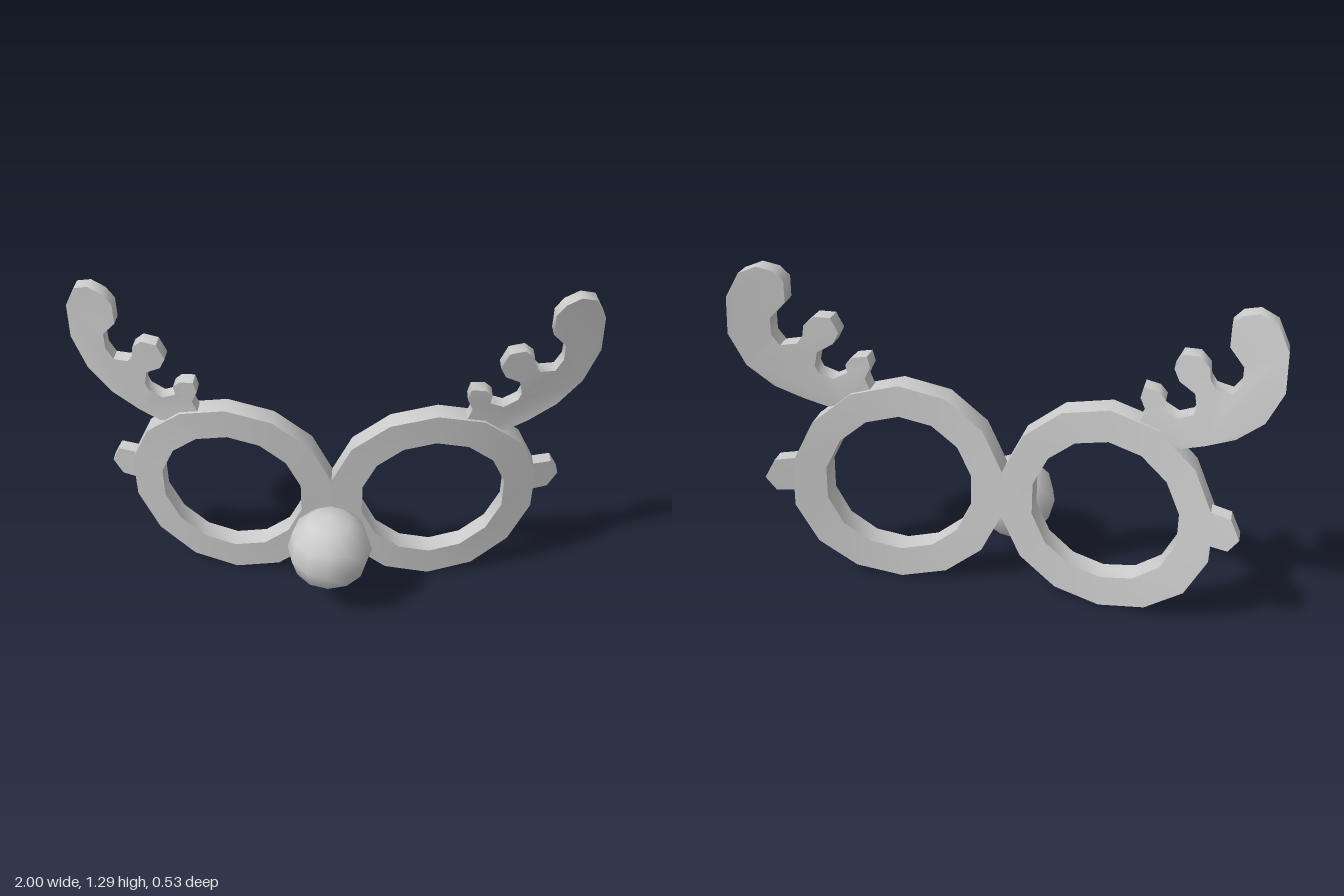
import * as THREE from 'three';
import { toCreasedNormals } from 'three/addons/utils/BufferGeometryUtils.js';

const grey = new THREE.MeshStandardMaterial({ color: 0xcccccc });
grey.name = 'plain grey';

// Antler outline with one large and two small tines
const ANTLER = [
  [0.89, 1.29], [0.95, 1.27], [0.995, 1.185], [1.0, 1.045], [0.947, 0.917], [0.856, 0.826],
  [0.75, 0.768], [0.67, 0.735], [0.6, 0.74], [0.5, 0.78], [0.519, 0.82], [0.53, 0.85],
  [0.508, 0.896], [0.519, 0.939], [0.572, 0.933], [0.6, 0.906], [0.594, 0.872], [0.647, 0.848],
  [0.7, 0.874], [0.711, 0.901], [0.7, 0.955], [0.642, 0.987], [0.62, 1.03], [0.647, 1.088],
  [0.706, 1.094], [0.743, 1.061], [0.749, 1.019], [0.77, 0.992], [0.829, 0.987], [0.856, 1.03],
  [0.856, 1.094], [0.802, 1.152], [0.802, 1.232], [0.834, 1.27],
];

// Hinge stub at the outer edge of the rim
const STUB = [[0.78, 0.527], [0.872, 0.523], [0.909, 0.452], [0.872, 0.393], [0.78, 0.388]];

// Sweeps a flat part back at the sides and leans it forward at the top
function bentMesh(name, geometry) {
  const p = geometry.attributes.position;
  for (let i = 0; i < p.count; i++) {
    const sweep = -0.19 * Math.pow(Math.abs(p.getX(i)), 2.4);
    const lean = 0.082 * (p.getY(i) - 0.83);
    p.setZ(i, p.getZ(i) + sweep + lean);
  }
  const mesh = new THREE.Mesh(toCreasedNormals(geometry, 1.0), grey);
  mesh.name = name;
  return mesh;
}

// Plate cut from an outline, its face set back from the rim's face
function plate(name, outline, setback, depth, side) {
  const shape = new THREE.Shape(outline.map(([x, y]) => new THREE.Vector2(x * side, y)));
  const geometry = new THREE.ExtrudeGeometry(shape, { depth, bevelEnabled: false });
  geometry.translate(0, 0, -setback - depth);
  return bentMesh(name, geometry);
}

// Fourteen-sided ring of rectangular section
function rim(name, side) {
  const inner = 0.289, outer = 0.415, front = 0.003, back = -0.084;
  const section = [[inner, back], [outer, back], [outer, front], [inner, front], [inner, back]];
  const geometry = new THREE.LatheGeometry(section.map(([r, z]) => new THREE.Vector2(r, z)), 14);
  geometry.rotateX(Math.PI / 2);
  geometry.translate(0.403 * side, 0.416, 0);
  return bentMesh(name, geometry);
}

export function createModel() {
  const model = new THREE.Group();
  model.name = 'antlerGlasses';

  // Mirrored halves of the frame
  for (const [label, side] of [['left', 1], ['right', -1]]) {
    model.add(
      rim(label + 'Rim', side),
      plate(label + 'Antler', ANTLER, 0.01, 0.062, side),
      plate(label + 'HingeStub', STUB, 0.026, 0.057, side),
    );
  }

  // Round nose in front of the bridge
  const nose = new THREE.Mesh(new THREE.SphereGeometry(0.167, 12, 6), grey);
  nose.name = 'nose';
  nose.position.set(0, 0.276, 0.1);
  nose.rotation.x = 0.08;
  model.add(nose);

  return model;
}
